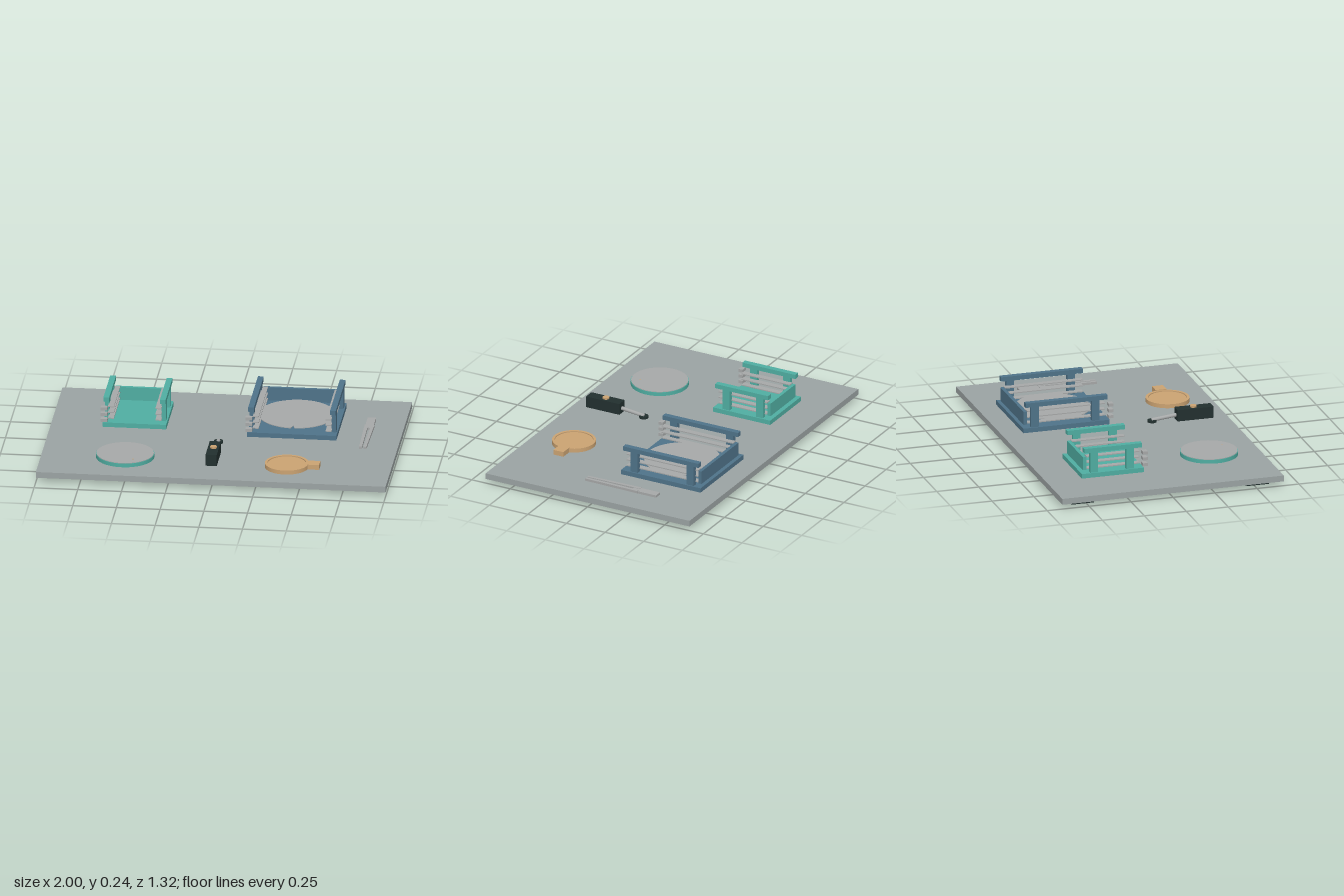
import * as THREE from 'three';

const mat = (name, color, side = THREE.FrontSide) => {
  const m = new THREE.MeshStandardMaterial({ color, side });
  m.name = name;
  return m;
};

export function createModel() {
  const M = {
    plate: mat('plate grey', 0x9ba3a3),
    steel: mat('steel', 0xa6a8a8),
    teal: mat('teal', 0x50aea2),
    blue: mat('slate blue', 0x4f7389),
    gold: mat('tan', 0xcba372),
    black: mat('near black', 0x22302f),
  };
  const root = new THREE.Group();
  root.name = 'workBoard';

  const add = (parent, name, geo, material, x = 0, y = 0, z = 0) => {
    const m = new THREE.Mesh(geo, material);
    m.name = name;
    m.position.set(x, y, z);
    parent.add(m);
    return m;
  };
  // box given by its min and max on each axis
  const box = (parent, name, material, x0, x1, y0, y1, z0, z1) =>
    add(parent, name, new THREE.BoxGeometry(x1 - x0, y1 - y0, z1 - z0), material,
      (x0 + x1) / 2, (y0 + y1) / 2, (z0 + z1) / 2);
  const disc = (parent, name, material, r, y0, y1, x, z, sides = 48) =>
    add(parent, name, new THREE.CylinderGeometry(r, r, y1 - y0, sides), material, x, (y0 + y1) / 2, z);
  const group = (name) => {
    const g = new THREE.Group();
    g.name = name;
    root.add(g);
    return g;
  };

  // board on four rubber feet
  box(root, 'boardPlate', M.plate, -1, 1, 0.026, 0.061, -0.66, 0.66);
  for (const sx of [-1, 1]) for (const sz of [-1, 1])
    add(root, 'foot', new THREE.BoxGeometry(0.17, 0.026, 0.135), M.black, sx * 0.86, 0.013, sz * 0.52);

  // open rack: base, back wall, posts, top rails, shelf strips and end tabs
  const rack = (name, material, x0, x1, z0, z1, posts, wall) => {
    const g = group(name);
    const cx = (x0 + x1) / 2, half = (x1 - x0) / 2;
    box(g, 'base', material, x0, x1, 0.061, 0.088, z0, z1);
    box(g, 'backWall', material, x0 + 0.035, x1 - 0.035, 0.098, 0.176, wall - 0.02, wall);
    for (const s of [-1, 1]) {
      const px = cx + s * (half - 0.021);
      add(g, 'topRail', new THREE.BoxGeometry(0.033, 0.026, z1 - z0 - 0.027), material,
        px, 0.223, (z0 + z1) / 2 + 0.003);
      for (const p of posts)
        add(g, 'post', new THREE.BoxGeometry(0.026, 0.124, 0.045), material, px, 0.149, p);
      for (const y of [0.108, 0.143, 0.178])
        add(g, 'shelf', new THREE.BoxGeometry(0.034, 0.006, z1 - 0.018 - wall), M.steel,
          cx + s * (half - 0.047), y, (z1 - 0.018 + wall) / 2);
    }
    for (const y of [0.108, 0.143, 0.178])
      add(g, 'endTab', new THREE.BoxGeometry(0.038, 0.018, 0.028), M.steel, x0 + 0.011, y, z1 + 0.006);
    return g;
  };
  rack('smallRack', M.teal, -0.705, -0.34, -0.45, -0.08, [-0.16, -0.375], -0.413);
  const large = rack('largeRack', M.blue, 0.13, 0.64, -0.535, -0.02, [-0.1, -0.463], -0.502);

  // notched disc resting on the lowest shelves
  const r = 0.219, a = 0.05;
  const outline = new THREE.Shape();
  outline.absarc(0, 0, r, -Math.PI / 2 + a, Math.PI * 1.5 - a, false);
  outline.lineTo(0, -r + 0.035);
  const thin = new THREE.ExtrudeGeometry(outline, { depth: 0.004, bevelEnabled: false, curveSegments: 48 });
  thin.rotateX(-Math.PI / 2);
  add(large, 'thinDisc', thin, M.steel, 0.385, 0.107, -0.28);

  // teal carrier disc with grey face
  const carrier = group('carrierDisc');
  disc(carrier, 'carrierBody', M.teal, 0.166, 0.061, 0.083, -0.523, 0.365);
  disc(carrier, 'carrierFace', M.steel, 0.163, 0.082, 0.086, -0.523, 0.365);
  disc(carrier, 'faceMark', M.gold, 0.004, 0.085, 0.087, -0.467, 0.46, 8);

  // tan dish with raised rim and tab
  const dish = group('dish');
  disc(dish, 'dishFloor', M.gold, 0.118, 0.061, 0.079, 0.407, 0.412);
  const rim = [[0.125, 0.061], [0.125, 0.085], [0.11, 0.085], [0.11, 0.061]]
    .map(([x, y]) => new THREE.Vector2(x, y));
  // each straight run is its own lathe so corners stay sharp
  for (let i = 0; i < 3; i++)
    add(dish, 'dishRim', new THREE.LatheGeometry([rim[i], rim[i + 1]], 48), M.gold, 0.407, 0, 0.412);
  box(dish, 'dishTab', M.gold, 0.525, 0.595, 0.061, 0.09, 0.378, 0.443);

  // suction tool: body, button, angled stem and round pad
  const tool = group('suctionTool');
  box(tool, 'toolBody', M.black, -0.043, 0.021, 0.098, 0.165, 0.33, 0.545);
  disc(tool, 'button', M.gold, 0.02, 0.165, 0.175, -0.01, 0.433, 8);
  const from = new THREE.Vector3(-0.01, 0.128, 0.335), to = new THREE.Vector3(-0.01, 0.112, 0.185);
  const stem = add(tool, 'stem', new THREE.CylinderGeometry(0.011, 0.011, from.distanceTo(to), 16), M.steel);
  stem.position.copy(from).lerp(to, 0.5);
  stem.quaternion.setFromUnitVectors(new THREE.Vector3(0, 1, 0), to.clone().sub(from).normalize());
  disc(tool, 'suctionPad', M.black, 0.026, 0.1, 0.113, -0.01, 0.188, 24);

  // tweezers: joined handle and two converging arms
  const tweezers = group('tweezers');
  box(tweezers, 'handle', M.steel, 0.782, 0.83, 0.066, 0.08, -0.35, -0.19);
  for (const s of [-1, 1]) {
    const arm = new THREE.Shape();
    [[0.008, 0.23], [0.028, 0.23], [0.021, -0.11], [0.004, -0.11]]
      .forEach(([x, y], i) => (i ? arm.lineTo(s * x, y) : arm.moveTo(s * x, y)));
    const geo = new THREE.ExtrudeGeometry(arm, { depth: 0.014, bevelEnabled: false });
    geo.rotateX(-Math.PI / 2);
    add(tweezers, 'arm', geo, M.steel, 0.806, 0.068, 0);
  }
  return root;
}
